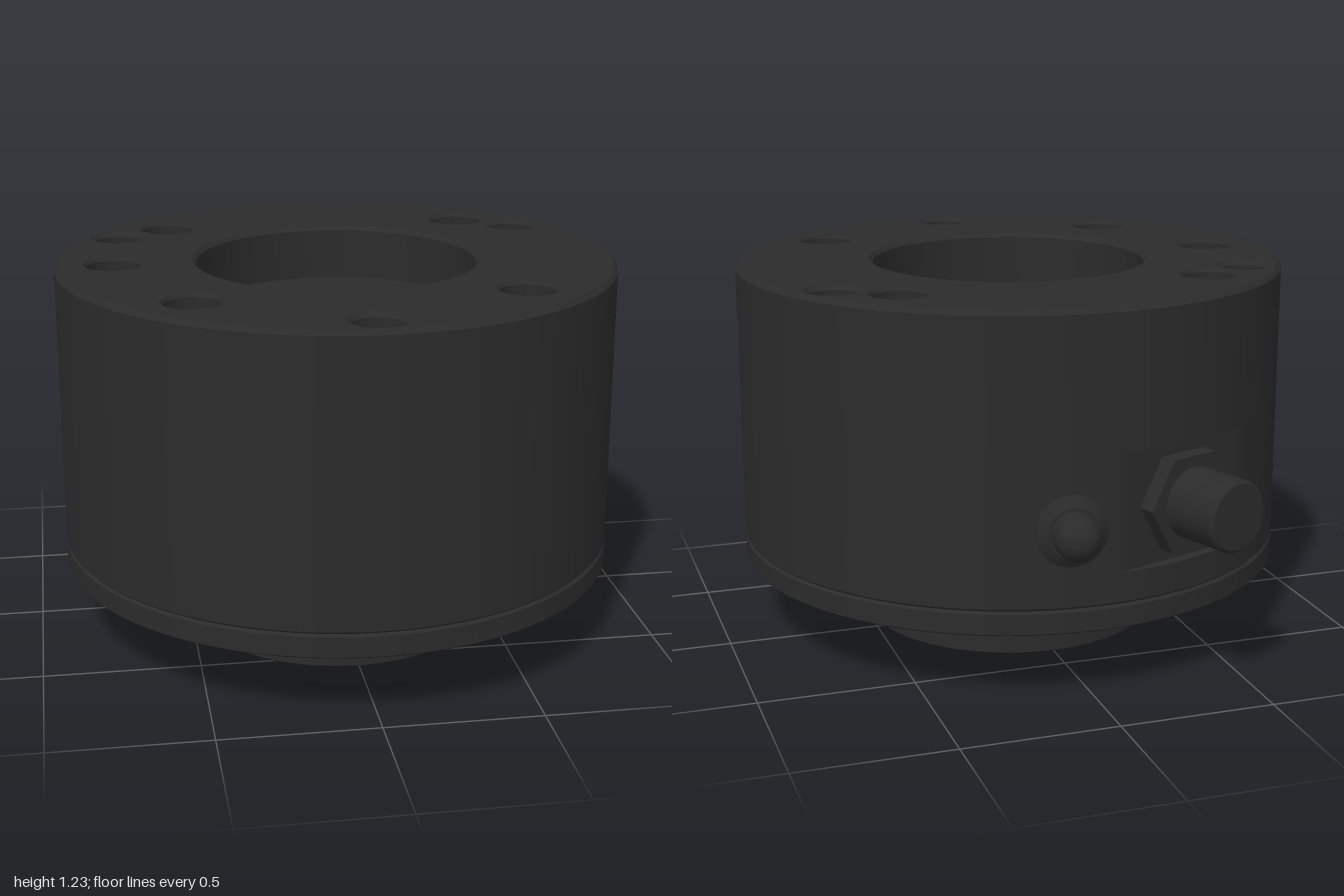
import * as THREE from 'three';
import { toCreasedNormals } from 'three/addons/utils/BufferGeometryUtils.js';

const R = 0.905, TOP = 1.23, SEG = 96;
const CENTRE_Z = 0.095;
const FLAT = 0.87;                                // distance of the milled flat from the axis
const CONNECTOR_ANGLE = Math.PI + THREE.MathUtils.degToRad(20);
const LAMP_ANGLE = Math.PI - THREE.MathUtils.degToRad(5.7);

const material = new THREE.MeshStandardMaterial({ color: 0x2b2b2b });

function mesh(name, geometry) {
  const m = new THREE.Mesh(geometry, material);
  m.name = name;
  return m;
}

function lathe(points, segments = SEG) {
  return new THREE.LatheGeometry(points.map(([r, y]) => new THREE.Vector2(r, y)), segments);
}

const turned = (name, points, segments) =>
  mesh(name, toCreasedNormals(lathe(points, segments), 0.5));

// Group whose local +y points radially outward from the body axis
function radialGroup(name, angle, y) {
  const g = new THREE.Group();
  g.name = name;
  g.rotation.set(Math.PI / 2, 0, -angle);
  g.position.y = y;
  g.quaternion.setFromUnitVectors(new THREE.Vector3(0, 1, 0), new THREE.Vector3(0, 0, 1));
  g.quaternion.premultiply(new THREE.Quaternion().setFromAxisAngle(new THREE.Vector3(0, 1, 0), angle));
  return g;
}

// Outer housing wall with a flat milled behind the connector
function housing() {
  const low = 0.41, high = 0.79;
  const geo = lathe([
    [R - 0.008, 0.308], [R, 0.316], [R, low], [R, low + 0.001],
    [R, high - 0.001], [R, high], [R, TOP - 0.015], [R - 0.015, TOP],
  ], SEG * 2);
  const p = geo.attributes.position;
  const dx = Math.sin(CONNECTOR_ANGLE), dz = Math.cos(CONNECTOR_ANGLE);
  for (let i = 0; i < p.count; i++) {
    const y = p.getY(i);
    const over = p.getX(i) * dx + p.getZ(i) * dz - FLAT;
    if (over > 0 && y > low + 0.0005 && y < high - 0.0005) {
      p.setX(i, p.getX(i) - dx * over);
      p.setZ(i, p.getZ(i) - dz * over);
    }
  }
  return mesh('housing', toCreasedNormals(geo, 0.5));
}

export function createModel() {
  const model = new THREE.Group();
  model.name = 'loadSensor';
  const body = new THREE.Group();
  body.name = 'body';
  body.position.z = CENTRE_Z;
  model.add(body);

  body.add(housing());

  // Base plate and mounting boss
  body.add(turned('basePlate', [
    [0, 0.23], [R - 0.005, 0.23], [R, 0.235], [R, 0.3], [R - 0.008, 0.308],
  ], SEG * 2));
  body.add(turned('boss', [[0, 0], [0.483, 0], [0.487, 0.004], [0.487, 0.23]]));

  // Drilled and flat-bottomed holes, as [x, z, kind]
  const holes = [];
  const addHole = (degrees, radius, kind) => {
    const a = THREE.MathUtils.degToRad(degrees);
    holes.push([radius * Math.cos(a), radius * Math.sin(a), kind]);
  };
  [45, 135, 180, 225, 315].forEach(a => addHole(a, 0.718, 'drilledHole'));
  [90, 210, 330].forEach(a => addHole(a, 0.788, 'flatHole'));

  // Top face pierced by the central recess and the holes
  const face = new THREE.Shape().absarc(0, 0, R - 0.015, 0, Math.PI * 2);
  const pierce = (x, z, r) =>
    face.holes.push(new THREE.Path().absarc(x, -z, r, 0, Math.PI * 2, true));
  pierce(0, 0, 0.465);
  holes.forEach(([x, z]) => pierce(x, z, 0.095));
  const topFace = mesh('topFace', new THREE.ShapeGeometry(face, SEG / 2));
  topFace.rotation.x = -Math.PI / 2;
  topFace.position.y = TOP;
  body.add(topFace);

  // Central recess
  const recess = turned('centralRecess', [[0.465, 0], [0.452, -0.013], [0.452, -0.18], [0, -0.18]]);
  recess.position.y = TOP;
  body.add(recess);

  // Hole interiors
  const profiles = {
    drilledHole: [[0.095, 0], [0.087, -0.01], [0.087, -0.16], [0, -0.21]],
    flatHole: [[0.095, 0], [0.079, -0.016], [0.079, -0.08], [0, -0.08]],
  };
  for (const [x, z, kind] of holes) {
    const hole = turned(kind, profiles[kind]);
    hole.position.set(x, TOP, z);
    body.add(hole);
  }

  // Cable connector: hex nut and barrel
  const connector = radialGroup('connector', CONNECTOR_ANGLE, 0.6);
  const nut = mesh('hexNut', new THREE.CylinderGeometry(0.17, 0.17, 0.055, 6).toNonIndexed());
  nut.geometry.computeVertexNormals();
  nut.rotation.y = Math.PI / 2;
  nut.position.y = FLAT + 0.0275;
  connector.add(nut);
  connector.add(turned('barrel', [
    [0.113, FLAT], [0.113, 1.108], [0.103, 1.118], [0, 1.118],
  ], 48));
  body.add(connector);

  // Indicator lamp: flanged bezel and domed lens
  const lamp = radialGroup('indicatorLamp', LAMP_ANGLE, 0.56);
  lamp.add(turned('bezel', [
    [0.113, 0.88], [0.113, 0.912], [0.08, 0.932], [0.06, 0.932],
  ], 48));
  const lens = [[0.07, 0.92]];
  for (let i = 0; i <= 10; i++) {
    const a = (i / 10) * Math.PI / 2;
    lens.push([0.07 * Math.cos(a), 0.977 + 0.07 * Math.sin(a)]);
  }
  lamp.add(turned('lens', lens, 48));
  body.add(lamp);

  return model;
}
